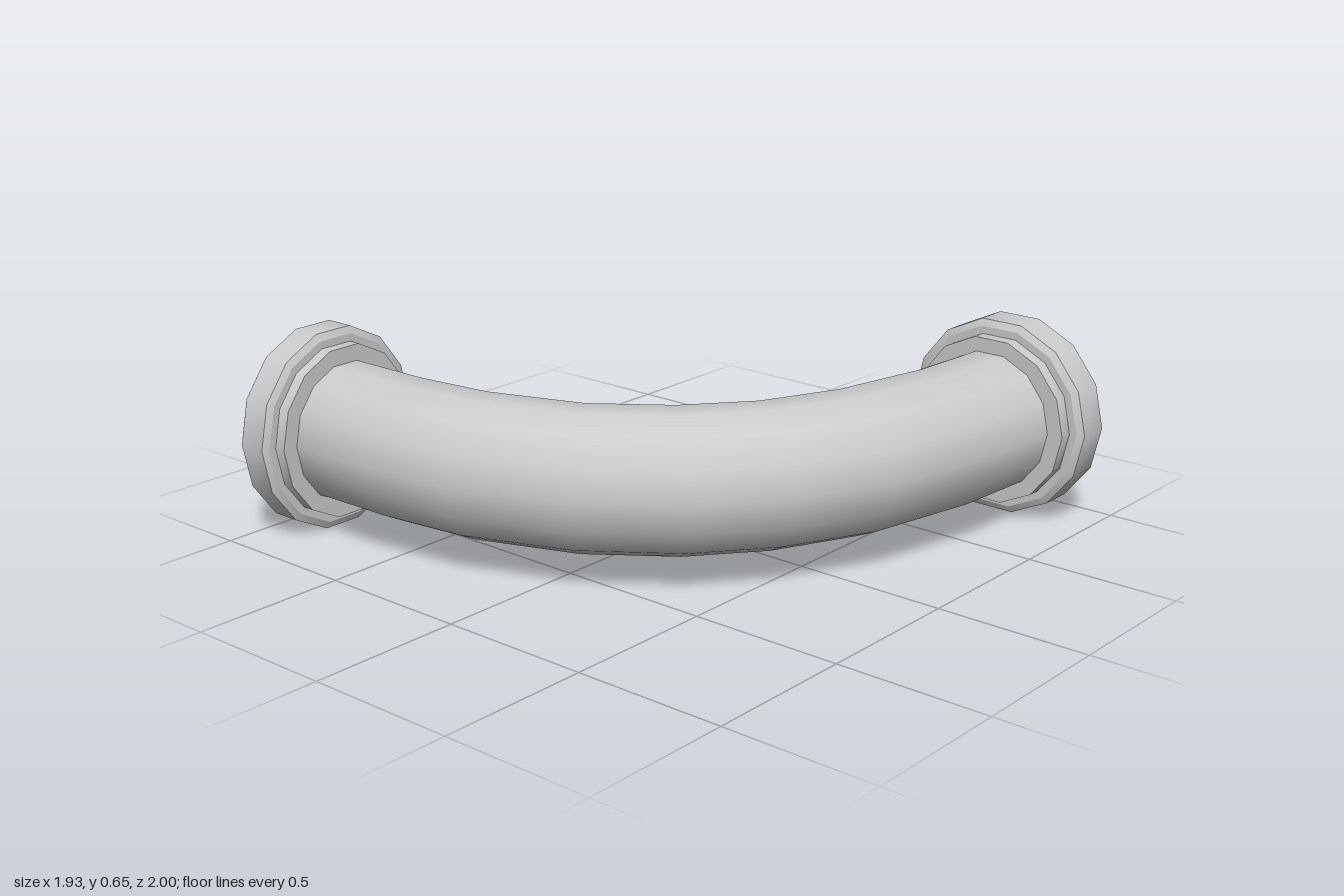
import * as THREE from 'three';
import { toCreasedNormals } from 'three/addons/utils/BufferGeometryUtils.js';

const SIDES = 14;
const AXIS_Y = 0.3225;

// Bent pipe: one ring per station, spanning the outer and inner edge of the bend
function pipeGeometry() {
  const outer = [[-0.873, -0.82], [-0.866, -0.5], [-0.83, -0.19], [-0.69, 0.17], [-0.48, 0.46],
    [-0.24, 0.65], [0.06, 0.8], [0.45, 0.88], [0.76, 0.9]];
  const inner = [[-0.447, -0.82], [-0.445, -0.52], [-0.415, -0.3], [-0.33, -0.04], [-0.2, 0.13],
    [-0.04, 0.27], [0.17, 0.36], [0.47, 0.43], [0.76, 0.45]];
  const positions = [], index = [];
  outer.forEach(([ox, oz], i) => {
    const [ix, iz] = inner[i];
    for (let j = 0; j < SIDES; j++) {
      const a = (j / SIDES) * Math.PI * 2, c = Math.cos(a) / 2;
      positions.push(
        (ox + ix) / 2 + (ox - ix) * c,
        AXIS_Y + 0.227 * Math.sin(a),
        (oz + iz) / 2 + (oz - iz) * c
      );
      if (i < outer.length - 1) {
        const p = i * SIDES + j, q = i * SIDES + (j + 1) % SIDES;
        index.push(p, p + SIDES, q, q, p + SIDES, q + SIDES);
      }
    }
  });
  const geo = new THREE.BufferGeometry();
  geo.setAttribute('position', new THREE.Float32BufferAttribute(positions, 3));
  geo.setIndex(index);
  geo.computeVertexNormals();
  return geo;
}

// Coupling ring: hollow, with a bevelled raised band and a groove in the bore; opens toward +x
function collarGeometry() {
  const profile = [
    [0.222, 0], [0.275, 0], [0.275, 0.045], [0.3, 0.045], [0.3225, 0.057],
    [0.3225, 0.165], [0.3, 0.177], [0.275, 0.177], [0.275, 0.225],
    [0.227, 0.225], [0.227, 0.177], [0.255, 0.165], [0.255, 0.06], [0.222, 0.05], [0.222, 0]
  ].map(([r, h]) => new THREE.Vector2(r, h));
  const geo = new THREE.LatheGeometry(profile, SIDES);
  geo.rotateZ(-Math.PI / 2);
  return toCreasedNormals(geo, 0.5);
}

export function createModel() {
  const model = new THREE.Group();
  model.name = 'pipeElbow';
  const material = new THREE.MeshStandardMaterial({ color: 0xcccccc, side: THREE.DoubleSide });

  const pipe = new THREE.Mesh(pipeGeometry(), material);
  pipe.name = 'bentPipe';
  model.add(pipe);

  const ring = collarGeometry();
  const addCollar = (name, x, z, turn, scale) => {
    const collar = new THREE.Mesh(ring, material);
    collar.name = name;
    collar.position.set(x, AXIS_Y, z);
    collar.rotation.y = turn;
    collar.scale.set(...scale);
    model.add(collar);
  };
  addCollar('leftCollar', 0.74, 0.677, 0, [1, 1, 1]);
  addCollar('backCollar', -0.6625, -0.8, Math.PI / 2, [0.89, 1.026, 0.953]);

  return model;
}
